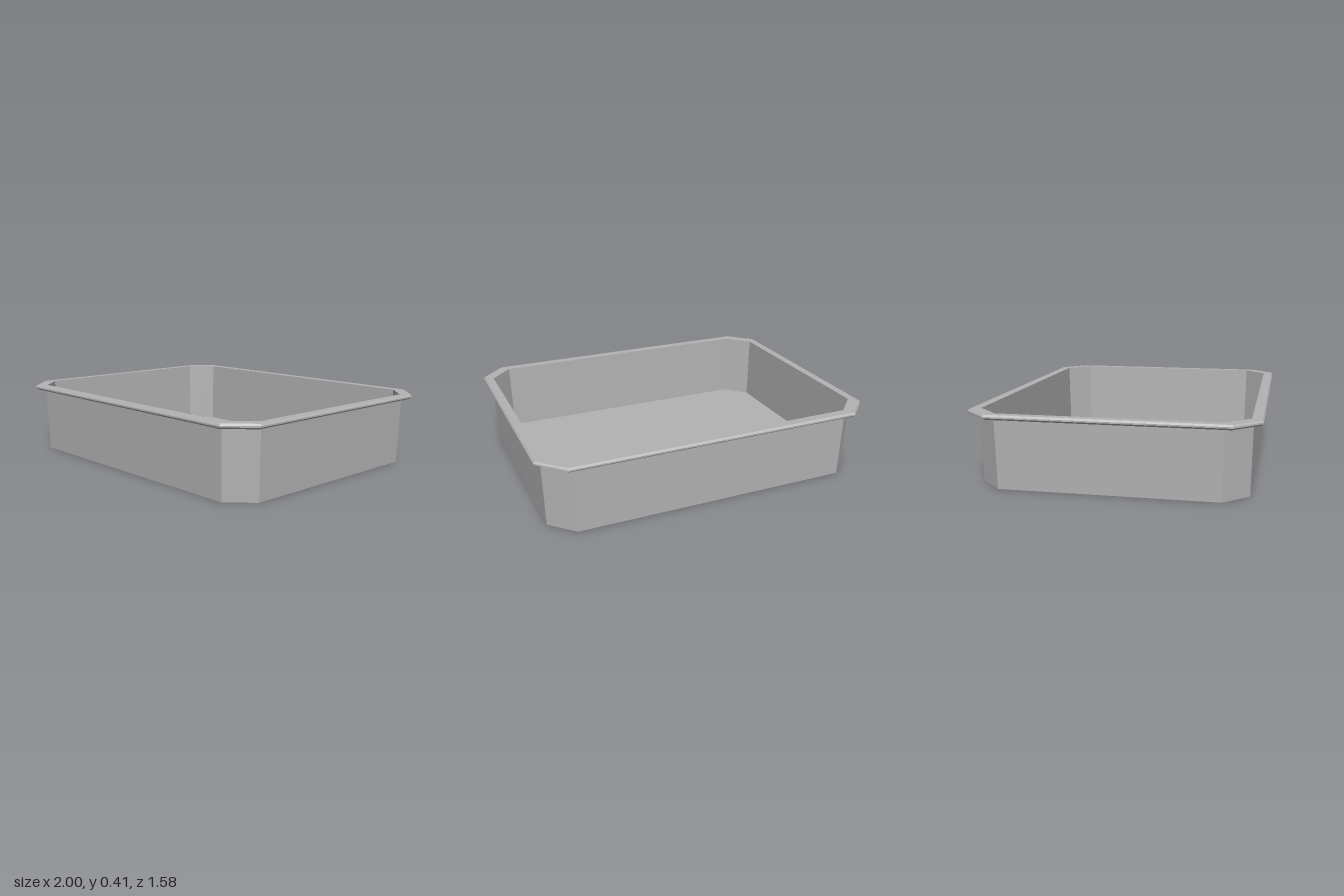
import * as THREE from 'three';

// Rectangle with cut corners: half sizes x, z and corner starts cx, cz, at height y
function ring([x, z, cx, cz, y]) {
  return [[x, cz], [x, -cz], [cx, -z], [-cx, -z], [-x, -cz], [-x, cz], [-cx, z], [cx, z]]
    .map(([px, pz]) => [px, y, pz]);
}

// Join a series of rings with flat bands; the outside faces out as the rings rise
function bands(sections) {
  const pos = [];
  const rings = sections.map(ring);
  for (let k = 0; k < rings.length - 1; k++) {
    const a = rings[k], b = rings[k + 1];
    for (let i = 0; i < 8; i++) {
      const j = (i + 1) % 8;
      pos.push(...a[i], ...a[j], ...b[j], ...a[i], ...b[j], ...b[i]);
    }
  }
  return finish(pos);
}

// Flat panel filling one ring
function panel(section, up) {
  const r = ring(section), pos = [];
  for (let i = 1; i < 7; i++) {
    pos.push(...r[0], ...(up ? r[i] : r[i + 1]), ...(up ? r[i + 1] : r[i]));
  }
  return finish(pos);
}

function finish(pos) {
  const g = new THREE.BufferGeometry();
  g.setAttribute('position', new THREE.Float32BufferAttribute(pos, 3));
  g.computeVertexNormals();
  return g;
}

export function createModel() {
  const grey = new THREE.MeshStandardMaterial({ color: 0xb3b3b3, flatShading: true });
  grey.name = 'tray grey';
  const tray = new THREE.Group();
  tray.name = 'tray';
  const add = (name, geometry) => {
    const mesh = new THREE.Mesh(geometry, grey);
    mesh.name = name;
    tray.add(mesh);
  };

  // Sections: half width, half depth, corner start x, corner start z, height
  const outerBottom = [0.943, 0.729, 0.812, 0.597, 0];
  const outerTop = [0.955, 0.737, 0.821, 0.602, 0.383];
  const innerTop = [0.945, 0.727, 0.817, 0.598, 0.412];
  const innerBottom = [0.935, 0.716, 0.81, 0.59, 0.01];

  // Slightly flared outer wall and the underside
  add('outerWall', bands([outerBottom, outerTop]));
  add('base', panel(outerBottom, false));

  // Overhanging rim with bevelled edges
  add('rim', bands([
    outerTop,
    [0.982, 0.773, 0.85, 0.637, 0.383],
    [1.0, 0.788, 0.86, 0.646, 0.394],
    [1.0, 0.788, 0.86, 0.646, 0.402],
    [0.992, 0.78, 0.856, 0.642, 0.412],
    innerTop,
  ]));

  // Inside of the tray
  add('innerWall', bands([innerTop, innerBottom]));
  add('floor', panel(innerBottom, true));
  return tray;
}
